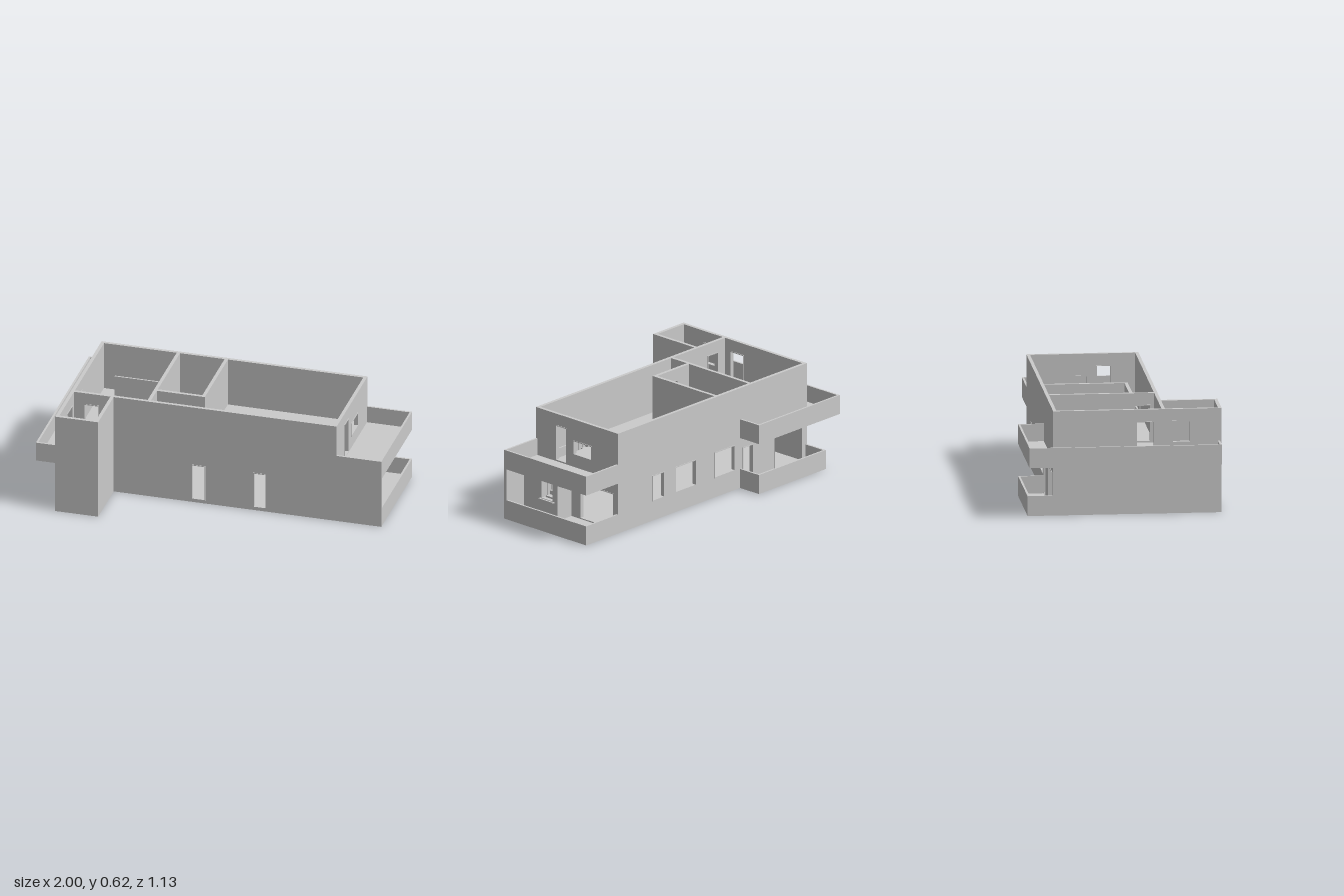
import * as THREE from 'three';

const material = new THREE.MeshStandardMaterial({ color: 0xcccccc, side: THREE.DoubleSide });
const T = 0.02; // wall thickness
const P = 0.012; // parapet thickness
const GROUND = 0.015, CEILING = 0.31, UPPER = 0.325, TOP = 0.62;

export function createModel() {
  const house = new THREE.Group();
  house.name = 'house';

  function add(name, geometry, x = 0, y = 0, z = 0, parent = house) {
    const mesh = new THREE.Mesh(geometry, material);
    mesh.name = name;
    mesh.position.set(x, y, z);
    parent.add(mesh);
    return mesh;
  }

  // Box given by its minimum and maximum corners
  function block(name, x0, x1, y0, y1, z0, z1, parent) {
    return add(name, new THREE.BoxGeometry(x1 - x0, y1 - y0, z1 - z0),
      (x0 + x1) / 2, (y0 + y1) / 2, (z0 + z1) / 2, parent);
  }

  function polygon(points, PathType = THREE.Shape) {
    return new PathType(points.map(([x, y]) => new THREE.Vector2(x, y)));
  }
  const rect = (a0, a1, b0, b1) => [[a0, b0], [a1, b0], [a1, b1], [a0, b1]];

  // Horizontal plate with an outline in x and z
  function slab(name, outline, y0, y1, holes = []) {
    const shape = polygon(outline);
    shape.holes = holes.map((h) => polygon(h, THREE.Path));
    const geometry = new THREE.ExtrudeGeometry(shape, { depth: y1 - y0, bevelEnabled: false });
    add(name, geometry, 0, y1, 0).rotation.x = Math.PI / 2;
  }

  // Wall along x or z from a0 to a1, its low side at pos; openings are [a0, a1, y0, y1]
  function wall(name, axis, a0, a1, pos, y0, y1, openings = [], thick = T) {
    const group = new THREE.Group();
    group.name = name;
    const shape = polygon(rect(a0, a1, y0, y1));
    shape.holes = openings.map((o) => polygon(rect(...o), THREE.Path));
    add('wallPanel', new THREE.ExtrudeGeometry(shape, { depth: thick, bevelEnabled: false }), 0, 0, 0, group);
    // Thin frame lining each opening, slightly proud of the wall
    for (const [l, r, b, t] of openings) {
      const f = 0.005;
      const frame = polygon(rect(l, r, b, t));
      frame.holes = [polygon(rect(l + f, r - f, b + f, t - f), THREE.Path)];
      add('openingFrame', new THREE.ExtrudeGeometry(frame, { depth: thick + 0.006, bevelEnabled: false }),
        0, 0, -0.003, group);
    }
    if (axis === 'z') {
      group.rotation.y = -Math.PI / 2;
      group.position.x = pos + thick;
    } else group.position.z = pos;
    house.add(group);
  }

  // Floor plates
  slab('groundFloor', [[-0.88, -0.565], [-0.31, -0.565], [-0.31, -0.415], [1, -0.415], [1, 0.24],
    [-0.62, 0.24], [-0.62, 0.57], [-0.88, 0.57]], 0, GROUND);
  slab('upperFloor', [[-1, -0.565], [-0.31, -0.565], [-0.31, -0.415], [1, -0.415], [1, 0.24],
    [-0.62, 0.24], [-0.62, 0.57], [-0.88, 0.57], [-0.88, 0.56], [-1, 0.56]],
  CEILING, UPPER, [rect(0.28, 0.71, 0.105, 0.21)]);

  // Ground storey
  const g = [GROUND, CEILING];
  wall('lowerFrontWall', 'x', -0.62, 1, 0.22, ...g, [[-0.15, -0.065, 0.018, 0.245], [0.225, 0.305, 0.018, 0.245]]);
  wall('lowerBackWall', 'x', -0.88, 0.73, -0.415, ...g, [
    [0.335, 0.44, 0.12, 0.28], [0.065, 0.245, 0.12, 0.28], [-0.265, -0.09, 0.12, 0.28],
    [-0.42, -0.33, 0.018, 0.245], [-0.84, -0.6, 0.018, 0.245]]);
  wall('lowerSideWall', 'z', -0.395, 0.57, -0.88, ...g);
  wall('lowerTerraceWall', 'z', -0.395, -0.045, 0.71, ...g, [[-0.385, -0.115, 0.018, 0.24]]);
  wall('lowerBayWall', 'z', -0.045, 0.22, 0.83, ...g, [[-0.015, 0.085, 0.125, 0.29]]);
  wall('lowerBayReturn', 'x', 0.71, 0.83, -0.045, ...g);
  block('bayWindowSill', 0.84, 0.865, 0.12, 0.127, -0.02, 0.092);
  wall('lowerTowerFront', 'x', -0.86, -0.64, 0.55, ...g);
  wall('lowerTowerSide', 'z', 0.22, 0.57, -0.64, ...g);

  // Upper storey, open at the top
  const u = [UPPER, TOP];
  wall('upperFrontWall', 'x', -0.86, 0.71, 0.22, ...u, [[-0.8, -0.71, 0.33, 0.55]]);
  wall('upperBackWall', 'x', -0.86, 0.71, -0.415, ...u);
  wall('upperLeftEndWall', 'z', -0.415, 0.24, 0.71, ...u, [[-0.01, 0.08, 0.33, 0.55], [-0.21, -0.06, 0.4, 0.49]]);
  wall('upperRightEndWall', 'z', -0.415, 0.57, -0.88, ...u, [[0.07, 0.18, 0.33, 0.55], [0.28, 0.39, 0.42, 0.55]]);
  wall('upperTowerFront', 'x', -0.86, -0.64, 0.55, ...u);
  wall('upperTowerSide', 'z', 0.24, 0.57, -0.64, ...u);

  // Upper partitions
  wall('bedroomPartition', 'z', -0.395, 0.22, -0.42, ...u, [[0.105, 0.2, 0.33, 0.55]]);
  wall('smallRoomSide', 'z', -0.395, 0.095, -0.13, ...u);
  wall('smallRoomFront', 'x', -0.4, -0.13, 0.075, ...u, [[-0.3, -0.21, 0.33, 0.55]]);
  block('lowScreen', -0.765, -0.5, UPPER, 0.47, -0.297, -0.287);

  // Balcony parapets: each is x0, x1, z0, z1
  const parapets = (name, y0, y1, list) => list.forEach(([x0, x1, z0, z1]) => block(name, x0, x1, y0, y1, z0, z1));
  parapets('upperParapet', UPPER, 0.427, [
    [-1, -1 + P, -0.565, 0.56], [-1 + P, -0.88, 0.56 - P, 0.56],
    [-1 + P, -0.31, -0.565, -0.565 + P], [-0.31 - P, -0.31, -0.565 + P, -0.415],
    [1 - P, 1, -0.415, 0.24], [0.73, 1 - P, -0.415, -0.415 + P], [0.73, 1 - P, 0.24 - P, 0.24]]);
  parapets('lowerParapet', GROUND, 0.118, [
    [-0.88, -0.88 + P, -0.565, -0.415], [-0.88 + P, -0.31, -0.565, -0.565 + P],
    [-0.31 - P, -0.31, -0.565 + P, -0.415],
    [1 - P, 1, -0.415, 0.22], [0.73, 1 - P, -0.415, -0.415 + P]]);

  // Staircase climbing towards -x, with a sloping rail on each side
  const stairs = new THREE.Group();
  stairs.name = 'staircase';
  house.add(stairs);
  const steps = 13, run = 0.43 / steps, rise = (UPPER - GROUND) / steps;
  for (let i = 0; i < steps; i++) {
    const x1 = 0.71 - i * run, y1 = GROUND + (i + 1) * rise;
    block('step', x1 - run, x1, Math.max(GROUND, y1 - 2 * rise), y1, 0.108, 0.207, stairs);
    for (const z of [0.107, 0.208]) {
      block('baluster', x1 - run / 2 - 0.002, x1 - run / 2 + 0.002, y1, y1 + 0.09, z - 0.002, z + 0.002, stairs);
    }
  }
  const railLength = Math.hypot(0.43, UPPER - GROUND);
  for (const z of [0.107, 0.208]) {
    const rail = add('handrail', new THREE.BoxGeometry(railLength, 0.008, 0.006),
      0.495, (GROUND + UPPER) / 2 + 0.1, z, stairs);
    rail.rotation.z = -Math.atan2(UPPER - GROUND, 0.43);
  }

  return house;
}
